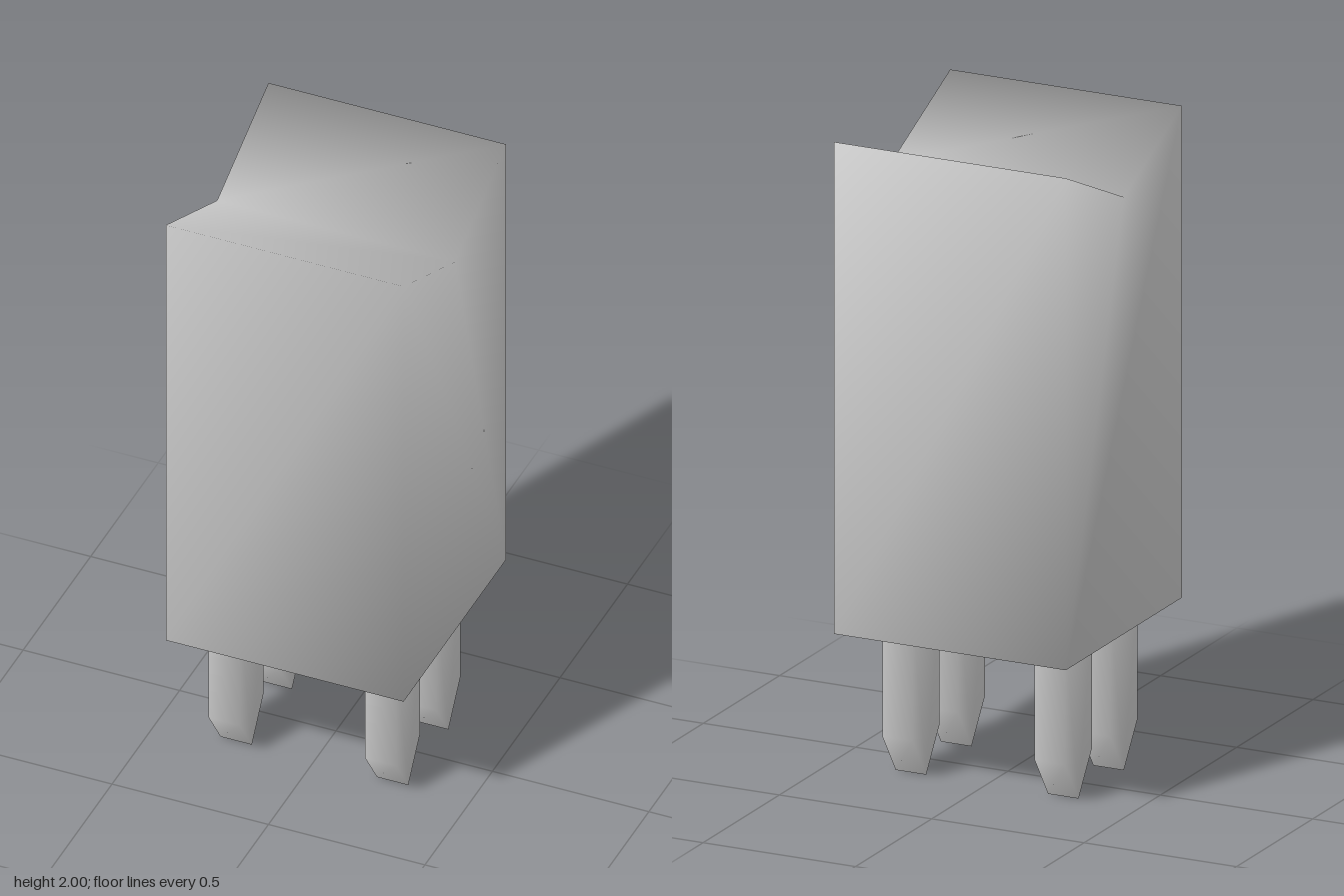
import * as THREE from 'three';
import { mergeVertices } from 'three/addons/utils/BufferGeometryUtils.js';

const material = new THREE.MeshStandardMaterial({ color: 0xcccccc });

// Extrudes a [z, y] outline across x, with normals shared softly over all edges
function prism(outline, width) {
  const shape = new THREE.Shape(outline.map(([z, y]) => new THREE.Vector2(z, y)));
  let geometry = new THREE.ExtrudeGeometry(shape, { depth: width, bevelEnabled: false });
  geometry.translate(0, 0, -width / 2);
  geometry.rotateY(-Math.PI / 2);
  geometry.deleteAttribute('normal');
  geometry.deleteAttribute('uv');
  geometry = mergeVertices(geometry, 1e-4);
  geometry.computeVertexNormals();
  return geometry;
}

export function createModel() {
  const model = new THREE.Group();

  // Tall square body with a V-shaped valley across the top
  const body = new THREE.Mesh(
    prism([[-0.38, 0.48], [0.38, 0.48], [0.38, 2], [0, 1.83], [-0.38, 2]], 0.76),
    material
  );
  body.name = 'body';
  model.add(body);

  // Four flat legs, each ending in a wedge point
  const legGeometry = prism(
    [[0, 0], [0.088, 0.13], [0.088, 0.52], [-0.088, 0.52], [-0.088, 0.13]], 0.1);
  for (const [side, x] of [['left', 0.25], ['right', -0.25]]) {
    for (const [end, z] of [['Front', 0.16], ['Back', -0.137]]) {
      const leg = new THREE.Mesh(legGeometry, material);
      leg.name = `${side}${end}Leg`;
      leg.position.set(x, 0, z);
      model.add(leg);
    }
  }
  return model;
}
